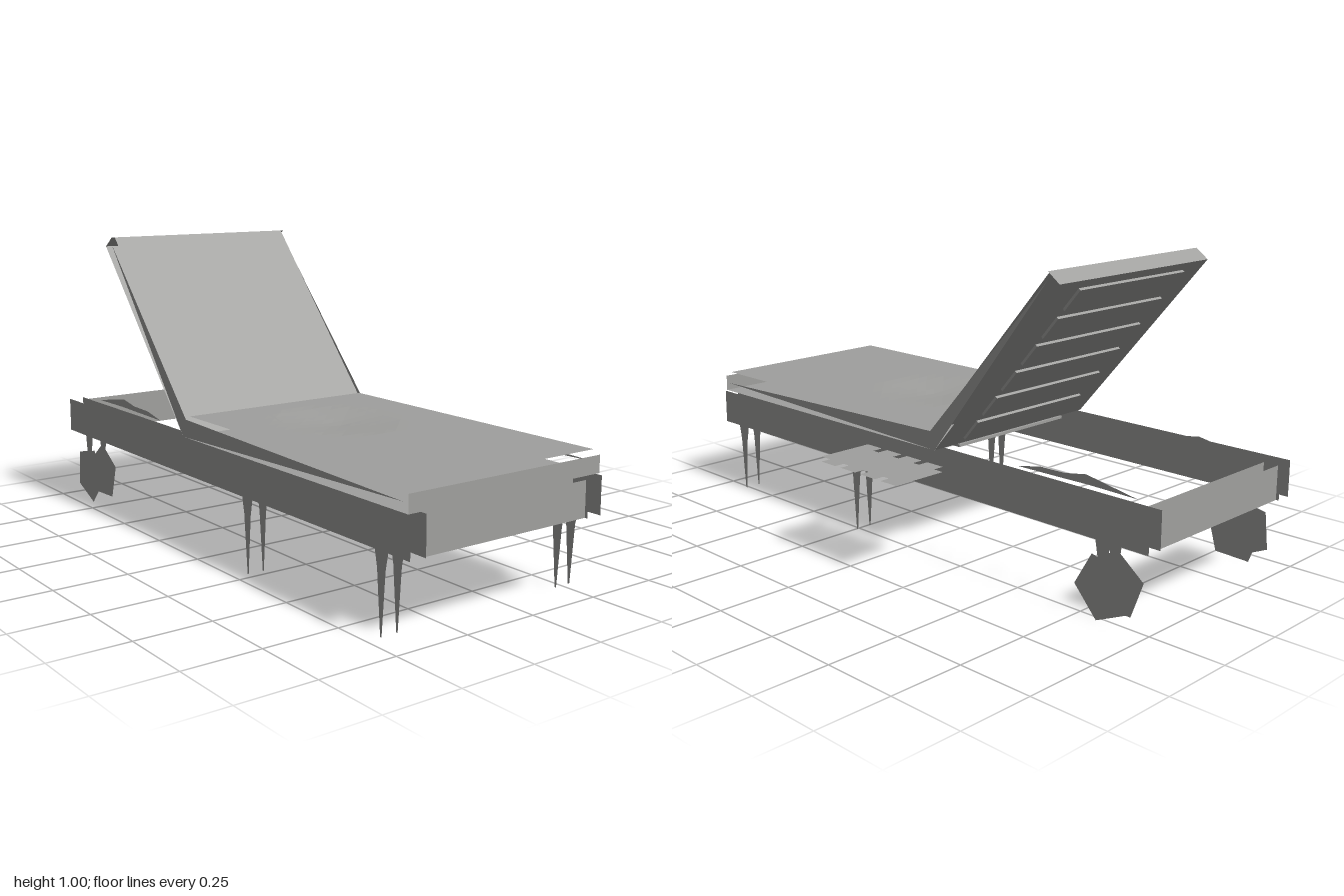
import * as THREE from 'three';

export function createModel() {
  const model = new THREE.Group();
  model.name = 'sunLounger';
  const grey = new THREE.MeshStandardMaterial({ color: 0xa0a09e, side: THREE.DoubleSide, flatShading: true });
  grey.name = 'grey';

  const add = (name, geometry, parent = model) => {
    const mesh = new THREE.Mesh(geometry, grey);
    mesh.name = name;
    parent.add(mesh);
    return mesh;
  };
  // Flat convex panel from an ordered ring of corners
  const panel = (name, corners) => {
    const g = new THREE.BufferGeometry();
    g.setAttribute('position', new THREE.Float32BufferAttribute(corners.flat(), 3));
    const index = [];
    for (let i = 1; i < corners.length - 1; i++) index.push(0, i, i + 1);
    g.setIndex(index);
    g.computeVertexNormals();
    return add(name, g);
  };
  // Vertical sheet in the z-y plane at a given x
  const sideSheet = (name, x, points) => {
    const shape = new THREE.Shape(points.map(([z, y]) => new THREE.Vector2(-z, y)));
    const mesh = add(name, new THREE.ShapeGeometry(shape));
    mesh.rotation.y = Math.PI / 2;
    mesh.position.x = x;
    return mesh;
  };

  const L = -0.457, R = 0.267;          // outer sides
  const l = -0.403, r = 0.212;          // inner sides
  const slatMid = -0.095, slatWidth = 0.51;

  // Frame: open double-walled rails and end boards
  for (const x of [L, l, r, R]) {
    sideSheet('sideRail', x, [[1, 0.25], [1, 0.37], [-1, 0.37], [-1, 0.25]]);
  }
  for (const z of [0.99, 0.94, -0.94, -0.99]) {
    panel('endBoard', [[l, 0.25, z], [r, 0.25, z], [r, 0.363, z], [l, 0.363, z]]);
  }

  // Tapered legs, wheel brackets and wheels, each as a pair of sheets
  const square = (cz, cy, radius, turn, sides) => Array.from({ length: sides }, (_, i) => {
    const a = turn + i * Math.PI * 2 / sides;
    return [cz + radius * Math.cos(a), cy + radius * Math.sin(a)];
  });
  for (const x of [L - 0.002, l, r, R + 0.002]) {
    for (const z of [0.885, 0.235]) {
      sideSheet('leg', x, [[z + 0.032, 0.27], [z + 0.018, 0.2], [z + 0.003, 0.01],
        [z - 0.003, 0.01], [z - 0.018, 0.2], [z - 0.032, 0.27]]);
    }
    sideSheet('wheelBracket', x, [[-0.81, 0.27], [-0.825, 0.19], [-0.86, 0.19], [-0.87, 0.27]]);
    const outer = x < L || x > R;
    sideSheet('wheel', x, square(-0.845, 0.108, 0.106, outer ? 1.15 : 0.35, 5));
    if (outer) sideSheet('wheelHub', x + Math.sign(x) * 0.004, square(-0.845, 0.11, 0.065, 0, 4));
  }

  // Curved stays beside the rear rails
  for (const x of [-0.38, 0.19]) {
    sideSheet('backStay', x, [[-0.44, 0.37], [-0.53, 0.388], [-0.63, 0.39], [-0.71, 0.404],
      [-0.78, 0.392], [-0.9, 0.372], [-0.72, 0.374], [-0.6, 0.372]]);
  }

  // Seat cushion: dipped top, bottom, front and tapering sides
  const il = L + 0.012, ir = R - 0.012;
  const top = new THREE.PlaneGeometry(ir - il, 1.1, 16, 25);
  top.rotateX(-Math.PI / 2);
  top.translate((il + ir) / 2, 0.445, 0.425);
  const p = top.attributes.position;
  for (let i = 0; i < p.count; i++) {
    const d = Math.hypot((p.getX(i) + 0.095) / 0.19, (p.getZ(i) - 0.21) / 0.23);
    p.setY(i, 0.445 - 0.015 * Math.max(0, 1 - d));
  }
  top.computeVertexNormals();
  add('seatTop', top);
  panel('seatBottom', [[L, 0.375, 0.99], [R, 0.375, 0.99], [R, 0.375, -0.15], [L, 0.375, -0.15]]);
  panel('seatFront', [[L, 0.375, 0.99], [R, 0.375, 0.99], [R, 0.43, 0.99], [L, 0.43, 0.99]]);
  panel('seatFold', [[-0.21, 0.45, -0.08], [-0.215, 0.45, 0], [-0.287, 0.45, 0.2]]);

  // Backrest cushion
  panel('backFront', [[il, 0.437, -0.13], [ir, 0.437, -0.13], [ir, 1, -0.615], [il, 1, -0.615]]);
  panel('backRear', [[L, 0.375, -0.15], [R, 0.375, -0.15], [R, 0.967, -0.66], [L, 0.967, -0.66]]);
  panel('backCap', [[L, 1, -0.615], [R, 1, -0.615], [R, 0.967, -0.66], [L, 0.967, -0.66]]);
  for (const x of [L, R]) {
    sideSheet('seatSide', x, [[0.97, 0.405], [-0.13, 0.435], [-0.15, 0.375]]);
    sideSheet('backSide', x, [[-0.13, 0.435], [-0.15, 0.375], [-0.62, 0.98]]);
  }

  // Slats under the seat
  for (let i = 0; i < 12; i++) {
    const slat = add('seatSlat', new THREE.BoxGeometry(slatWidth, 0.009, 0.07));
    slat.position.set(slatMid, 0.369, 0.93 - i * 0.0955);
  }
  // Slats behind the backrest
  const back = new THREE.Group();
  back.name = 'backSlats';
  back.position.set(slatMid, 0.375, -0.15);
  back.rotation.x = -Math.atan2(0.51, 0.592);
  model.add(back);
  for (let i = 0; i < 6; i++) {
    const slat = add('backSlat', new THREE.BoxGeometry(slatWidth, 0.09, 0.009), back);
    slat.position.set(0, 0.08 + i * 0.125, -0.006);
  }

  // Side tray: slats with open edges
  for (let i = 0; i < 4; i++) {
    const z = 0.095 - i * 0.0955;
    for (const y of [0.345, 0.328]) {
      panel('traySlat', [[0.305, y, z + 0.035], [0.504, y, z + 0.035], [0.504, y, z - 0.035], [0.305, y, z - 0.035]]);
    }
  }
  return model;
}
